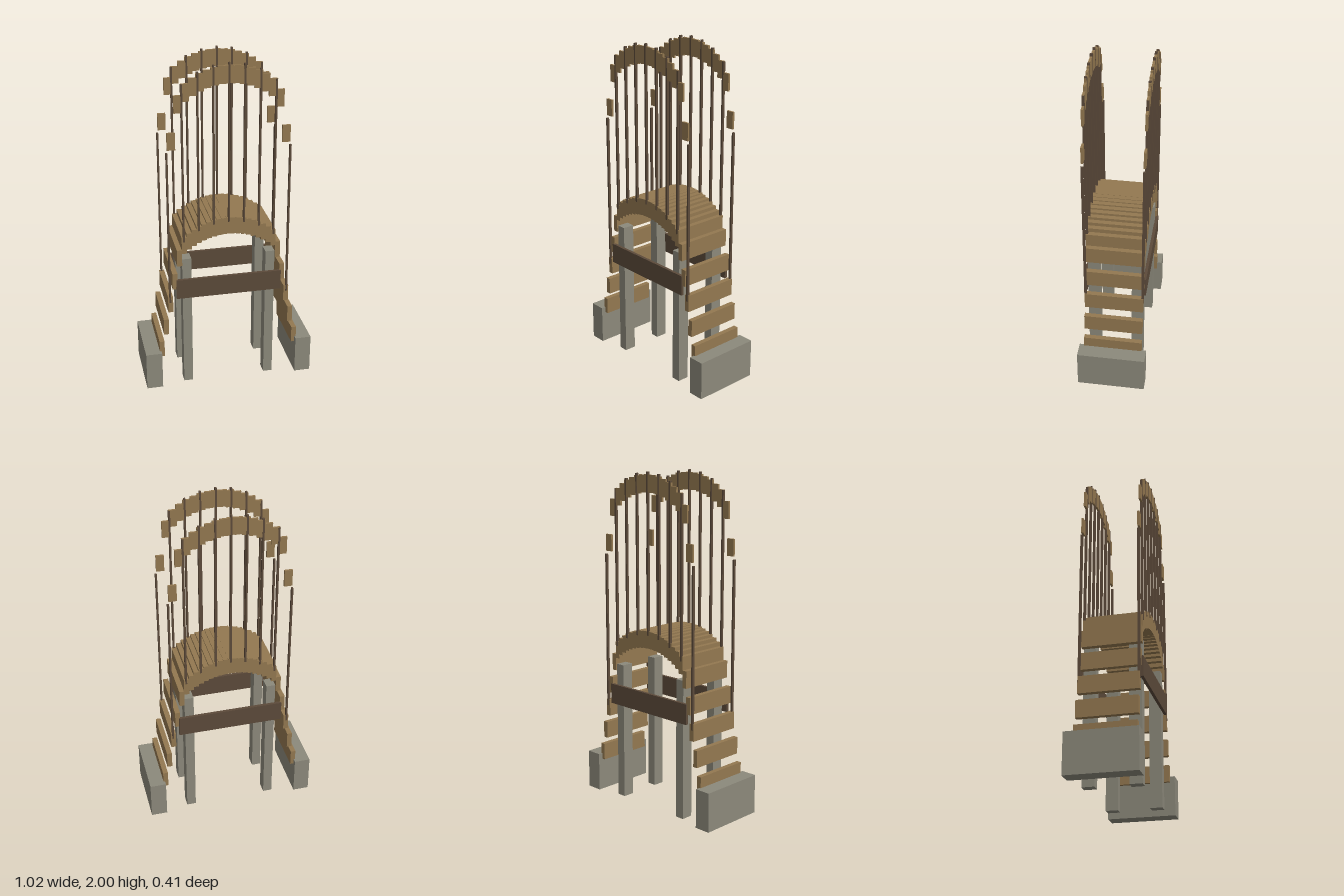
import * as THREE from 'three';

export function createModel() {
  const model = new THREE.Group();
  const wood = new THREE.MeshStandardMaterial({ color: 0x937850 });
  const darkWood = new THREE.MeshStandardMaterial({ color: 0x5c4a3a });
  const stone = new THREE.MeshStandardMaterial({ color: 0x8c897b });
  wood.name = 'wood';
  darkWood.name = 'darkWood';
  stone.name = 'stone';

  const group = (name) => {
    const g = new THREE.Group();
    g.name = name;
    model.add(g);
    return g;
  };
  // Box placed by the height of its top face
  const box = (parent, name, material, [w, h, d], x, top, z) => {
    const mesh = new THREE.Mesh(new THREE.BoxGeometry(w, h, d), material);
    mesh.name = name;
    mesh.position.set(x, top - h / 2, z);
    parent.add(mesh);
  };

  // Drop below the crown: a circular arch, then steep straight ends
  const R = 0.387, END = 0.281;
  const arc = (x) => R - Math.sqrt(R * R - x * x);
  const drop = (x) => {
    const a = Math.abs(x);
    return a < END ? arc(a) : arc(END) + (a - END) * 5.13;
  };

  // Deck planks
  const deck = group('deck');
  for (let i = -14; i <= 14; i++) {
    const x = i * 0.0293;
    box(deck, 'plank', wood, [0.03, 0.102, 0.35], x, 1.085 - drop(x), 0);
  }

  // Handrails, balusters and side beams
  for (const side of [1, -1]) {
    const rail = group(side > 0 ? 'frontRailing' : 'backRailing');
    for (let i = -8; i <= 8; i++) {
      const x = i * 0.041;
      box(rail, 'railSegment', wood, [0.047, 0.1, 0.013], x, 1.985 - drop(x), side * 0.17);
    }
    for (let i = -4; i <= 4; i++) {
      const x = i * 0.0885;
      box(rail, 'baluster', darkWood, [0.011, 0.94, 0.015], x, 2 - drop(x), side * 0.17);
    }
    box(model, 'sideBeam', darkWood, [0.63, 0.122, 0.018], 0, 0.712, side * 0.175);
  }

  // Support posts and end footings
  for (const sx of [1, -1]) {
    for (const sz of [1, -1]) {
      box(model, 'post', stone, [0.055, 0.84, 0.072], sx * 0.25, 0.84, sz * 0.131);
    }
    box(model, 'footing', stone, [0.097, 0.236, 0.408], sx * 0.464, 0.236, 0);
  }
  return model;
}
